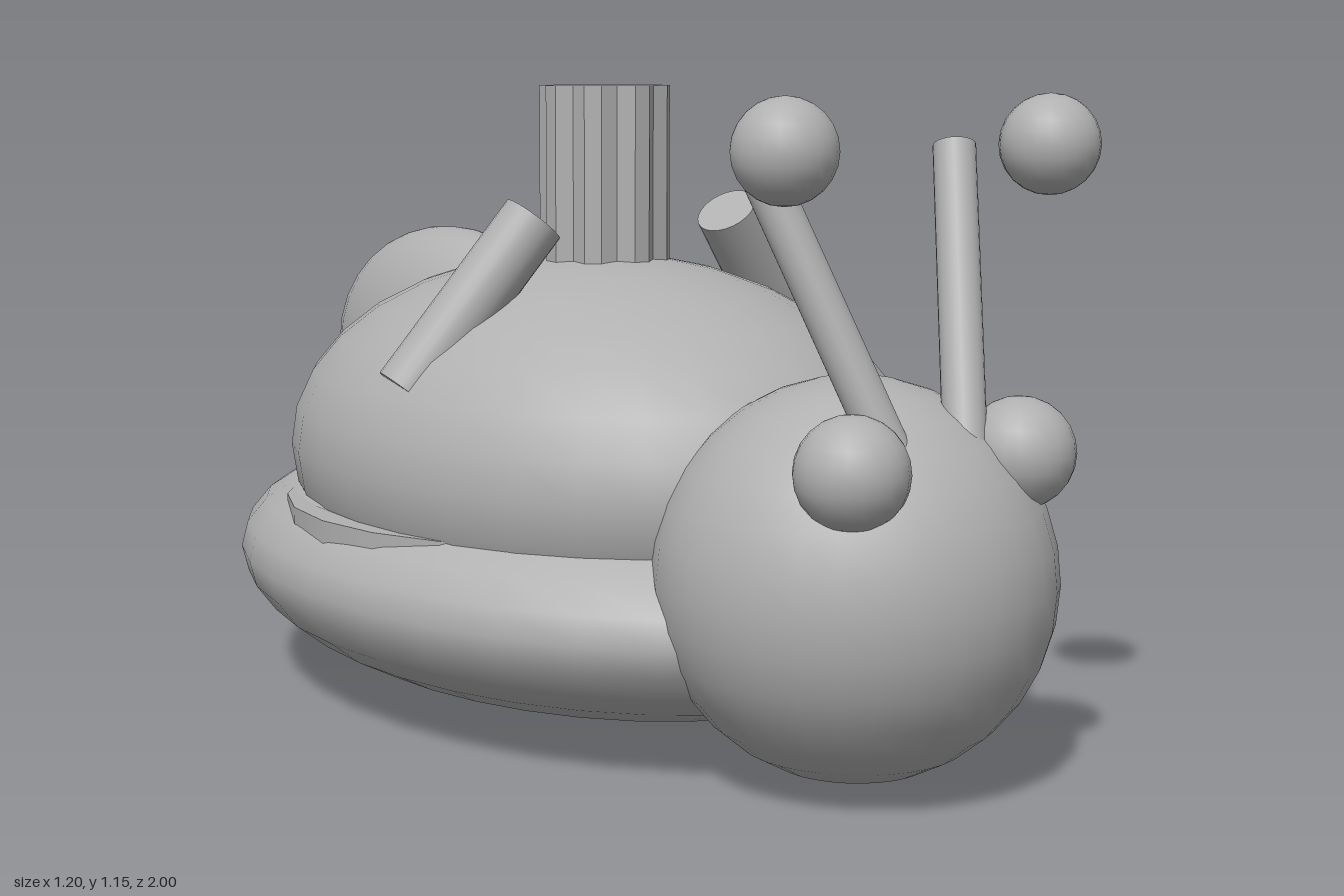
import * as THREE from 'three';

const grey = new THREE.MeshStandardMaterial({ color: 0xb0b0b0 });
grey.name = 'grey';

export function createModel() {
  const model = new THREE.Group();
  model.name = 'snail';

  const add = (name, geometry) => {
    const mesh = new THREE.Mesh(geometry, grey);
    mesh.name = name;
    model.add(mesh);
    return mesh;
  };
  const ellipsoid = (name, [x, y, z], [rx, ry, rz], seg = 32) =>
    add(name, new THREE.SphereGeometry(1, seg, seg / 2).scale(rx, ry, rz).translate(x, y, z));

  // Straight rod between two points
  const rod = (name, from, to, radius) => {
    const a = new THREE.Vector3(...from);
    const b = new THREE.Vector3(...to);
    const dir = b.clone().sub(a);
    const mesh = add(name, new THREE.CylinderGeometry(radius, radius, dir.length(), 24));
    mesh.position.copy(a).add(b).multiplyScalar(0.5);
    mesh.quaternion.setFromUnitVectors(new THREE.Vector3(0, 1, 0), dir.normalize());
  };

  // Main masses
  ellipsoid('foot', [0, 0.257, -0.12], [0.6, 0.25, 0.84]);
  ellipsoid('shell', [0, 0.47, -0.09], [0.53, 0.375, 0.7]);
  ellipsoid('head', [0, 0.353, 0.663], [0.337, 0.337, 0.337]);
  ellipsoid('tailFin', [0, 0.6, -0.6], [0.155, 0.263, 0.4]);

  // Disc that peeks out between foot and shell
  add('rim', new THREE.CylinderGeometry(0.56, 0.56, 0.06, 24).translate(0, 0.355, -0.135));

  // Mirrored eyes, feelers and shell horns
  for (const [side, s] of [['left', 1], ['right', -1]]) {
    ellipsoid(side + 'Eye', [s * 0.178, 0.573, 0.86], [0.092, 0.092, 0.092], 24);
    rod(side + 'Feeler', [s * 0.07, 0.555, 0.85], [s * 0.215, 1.06, 0.655], 0.036);
    ellipsoid(side + 'FeelerBall', [s * 0.278, 1.065, 0.813], [0.083, 0.083, 0.083], 24);
    rod(side + 'Horn', [s * 0.445, 0.62, -0.03], [s * 0.217, 0.92, 0.035], 0.058);
  }

  // Fluted chimney: eight flat-ended lobes around the outline
  const outline = [];
  for (let i = 0; i < 8; i++) {
    for (const [deg, r] of [[-7.5, 0.121], [7.5, 0.121], [22.5, 0.106]]) {
      const a = THREE.MathUtils.degToRad(i * 45 + deg);
      outline.push(new THREE.Vector2(Math.cos(a) * r, Math.sin(a) * r));
    }
  }
  const flute = new THREE.ExtrudeGeometry(new THREE.Shape(outline), { depth: 0.455, bevelEnabled: false });
  add('chimney', flute.rotateX(-Math.PI / 2).translate(0, 0.7, -0.055));

  return model;
}
